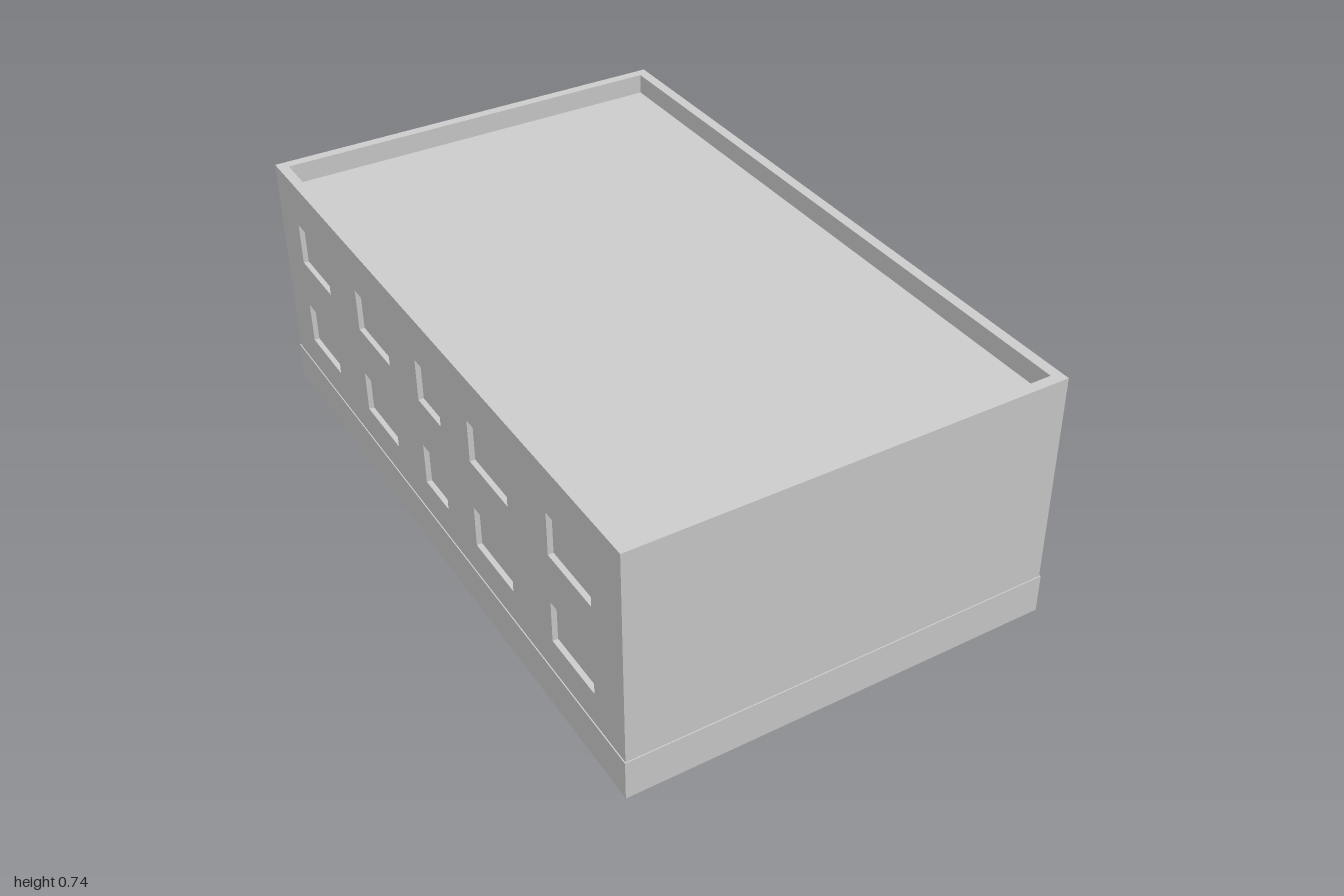
import * as THREE from 'three';

const material = new THREE.MeshStandardMaterial({ color: 0xcccccc, side: THREE.DoubleSide, flatShading: true });

const X0 = -0.757, X1 = 0.467, ZH = 0.997; // wall faces
const TOP = 0.735, PLINTH = 0.115, ROOF = 0.675, RIM = 0.03;
const CX = (X0 + X1) / 2, W = X1 - X0;

function add(parent, name, geometry, x = 0, y = 0, z = 0) {
  const mesh = new THREE.Mesh(geometry, material);
  mesh.name = name;
  mesh.position.set(x, y, z);
  parent.add(mesh);
  return mesh;
}

// Box given by its limits on each axis
function block(parent, name, [x0, x1], [y0, y1], [z0, z1]) {
  return add(parent, name, new THREE.BoxGeometry(x1 - x0, y1 - y0, z1 - z0),
    (x0 + x1) / 2, (y0 + y1) / 2, (z0 + z1) / 2);
}

// Box without its +z face, opening at z = 0 and reaching back to -depth
function recess(w, h, depth) {
  const g = new THREE.BoxGeometry(w, h, depth).translate(0, 0, -depth / 2);
  const index = Array.from(g.index.array);
  index.splice(24, 6);
  g.setIndex(index);
  g.clearGroups();
  return g;
}

function rectangle(target, x0, x1, y0, y1) {
  target.moveTo(x0, y0).lineTo(x1, y0).lineTo(x1, y1).lineTo(x0, y1).closePath();
  return target;
}

// Thin wall facing local +z, with openings [centre, width, bottom, top] set back as recesses
function wall(parent, name, width, openings = []) {
  const group = new THREE.Group();
  group.name = name;
  const shape = rectangle(new THREE.Shape(), -width / 2, width / 2, PLINTH, TOP);
  for (const [c, w, y0, y1] of openings) {
    shape.holes.push(rectangle(new THREE.Path(), c - w / 2, c + w / 2, y0, y1));
    add(group, 'windowRecess', recess(w, y1 - y0, 0.015), c, (y0 + y1) / 2, 0);
  }
  add(group, 'wallFace', new THREE.ShapeGeometry(shape));
  parent.add(group);
  return group;
}

// Five bays on two floors; the side with the porch has a door in the lower middle bay
function bays(side, hasDoor) {
  const list = [];
  for (const [y0, y1] of [[0.212, 0.335], [0.48, 0.605]]) {
    for (const z of [-0.755, -0.345, 0.007, 0.345, 0.755]) {
      const middle = Math.abs(z) < 0.1;
      const door = hasDoor && middle && y0 < 0.4;
      list.push([-side * z, middle ? 0.135 : 0.205, door ? 0.118 : y0, y1]);
    }
  }
  return list;
}

function createBuilding() {
  const g = new THREE.Group();
  g.name = 'building';

  // Long walls with windows, plain end walls
  for (const side of [1, -1]) {
    const long = wall(g, side > 0 ? 'leftWall' : 'rightWall', 2 * ZH, bays(side, side > 0));
    long.rotation.y = side * Math.PI / 2;
    long.position.x = side > 0 ? X1 : X0;
    const end = wall(g, side > 0 ? 'frontWall' : 'backWall', W);
    end.rotation.y = side > 0 ? 0 : Math.PI;
    end.position.set(CX, 0, side * ZH);
  }

  // Slightly proud plinth band, open underneath
  const p = 0.003;
  for (const s of [1, -1]) {
    const x = s > 0 ? X1 : X0 - p, z = s > 0 ? ZH : -ZH - p;
    block(g, 'plinthSide', [x, x + p], [0, PLINTH], [-1, 1]);
    block(g, 'plinthEnd', [X0, X1], [0, PLINTH], [z, z + p]);
  }

  // Parapet rim and sunken roof
  const rim = rectangle(new THREE.Shape(), -W / 2, W / 2, -ZH, ZH);
  rim.holes.push(rectangle(new THREE.Path(), -W / 2 + RIM, W / 2 - RIM, -ZH + RIM, ZH - RIM));
  add(g, 'parapetRim', new THREE.ShapeGeometry(rim).rotateX(-Math.PI / 2), CX, TOP, 0);
  add(g, 'sunkenRoof', recess(W - 2 * RIM, 2 * (ZH - RIM), TOP - ROOF).rotateX(-Math.PI / 2), CX, TOP, 0);
  // Underside of the parapet strip closes the hollow inside at roof level
  add(g, 'parapetUnderside', new THREE.ShapeGeometry(rim).rotateX(-Math.PI / 2), CX, ROOF, 0);
  return g;
}

function createPorch() {
  const g = new THREE.Group();
  g.name = 'porch';
  const low = [0, 0.21], high = [0.21, 0.392];

  // Outer side: thicker base, thinner wall above
  block(g, 'porchSideBase', [0.727, 0.747], low, [-0.172, 0.177]);
  block(g, 'porchSideWall', [0.727, 0.735], high, [-0.168, 0.17]);
  // Low wall at the back, open above
  block(g, 'porchBackBase', [X1, 0.747], low, [-0.174, -0.164]);
  // Front posts either side of the doorway, with a header
  for (const [x0, x1, x2] of [[X1, 0.515, 0.515], [0.645, 0.735, 0.747]]) {
    block(g, 'porchPostBase', [x0, x2], low, [0.158, 0.177]);
    block(g, 'porchPost', [x0, x1], high, [0.158, 0.17]);
  }
  block(g, 'porchHeader', [0.515, 0.645], [0.34, 0.392], [0.158, 0.17]);
  // Flat canopy, and the floor that runs out to the landing
  block(g, 'canopy', [X1, 0.757], [0.392, 0.397], [-0.18, 0.18]);
  block(g, 'landing', [X1, 0.725], [0.06, 0.115], [-0.165, 0.473]);
  return g;
}

export function createModel() {
  const model = new THREE.Group();
  model.name = 'officeBlock';
  model.add(createBuilding(), createPorch());
  return model;
}
